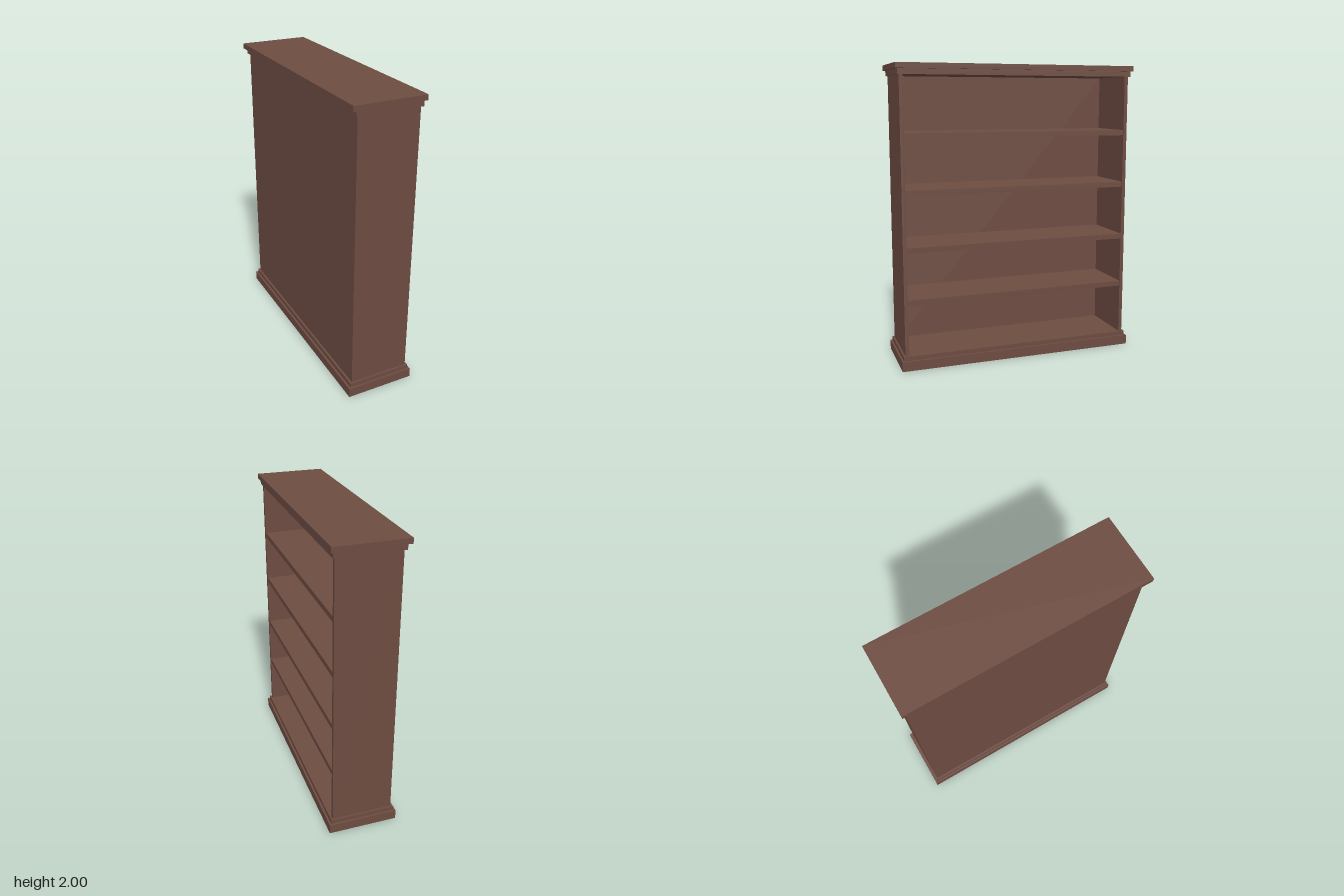
import * as THREE from 'three';

const wood = new THREE.MeshStandardMaterial({ color: 0x6d4c41 });

// Box given by its [min, max] extents on each axis
function board(name, [x0, x1], [y0, y1], [z0, z1]) {
  const mesh = new THREE.Mesh(new THREE.BoxGeometry(x1 - x0, y1 - y0, z1 - z0), wood);
  mesh.position.set((x0 + x1) / 2, (y0 + y1) / 2, (z0 + z1) / 2);
  mesh.name = name;
  return mesh;
}

export function createModel() {
  const bookcase = new THREE.Group();
  bookcase.name = 'bookcase';

  // Stepped plinth and cornice; the case opens toward +x
  bookcase.add(
    board('plinth', [-0.23, 0.24], [0, 0.065], [-0.825, 0.825]),
    board('plinthMoulding', [-0.215, 0.225], [0.065, 0.095], [-0.812, 0.812]),
    board('corniceMoulding', [-0.215, 0.225], [1.928, 1.965], [-0.812, 0.812]),
    board('corniceTop', [-0.24, 0.24], [1.965, 2], [-0.825, 0.825])
  );

  // Upright panels at both ends, and the back between them
  bookcase.add(
    board('leftEndPanel', [-0.2, 0.212], [0.095, 1.928], [0.775, 0.8]),
    board('rightEndPanel', [-0.2, 0.212], [0.095, 1.928], [-0.8, -0.775]),
    board('backPanel', [-0.2, -0.175], [0.095, 1.928], [-0.775, 0.775])
  );

  // Shelves
  [0.435, 0.785, 1.16, 1.525].forEach((y, i) => {
    bookcase.add(board(`shelf${i + 1}`, [-0.175, 0.208], [y, y + 0.036], [-0.775, 0.775]));
  });

  return bookcase;
}
